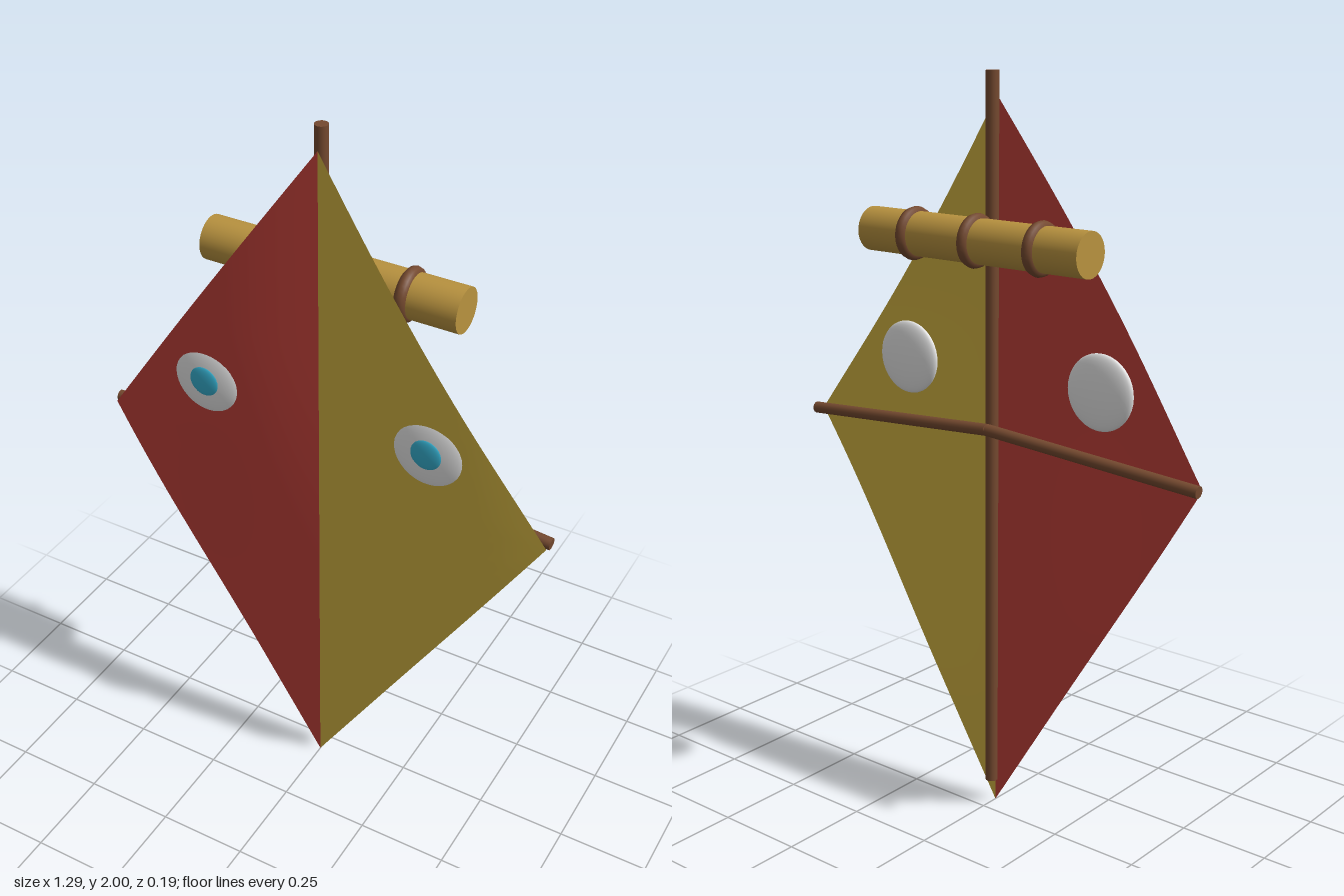
import * as THREE from 'three';

const mat = (name, color, side = THREE.FrontSide) => {
  const m = new THREE.MeshStandardMaterial({ color, side });
  m.name = name;
  return m;
};

const TOP = 1.94, CORNER_Y = 1.035, HALF = 0.638, SPINE_Z = 0.053;

// One billowing half of the sail: rows across y, straight outline in front, bulging in z
function sailHalf(side) {
  const cols = 16, rows = 40, pos = [], index = [];
  for (let j = 0; j <= rows; j++) {
    const k = j / rows;
    const y = k < 0.5 ? CORNER_Y * k * 2 : CORNER_Y + (TOP - CORNER_Y) * (k * 2 - 1);
    const width = HALF * (1 - Math.abs(k * 2 - 1));
    for (let i = 0; i <= cols; i++) {
      const x = width * i / cols;
      const bulge = 0.03 * Math.sin(Math.PI * x / HALF) * THREE.MathUtils.smoothstep(y, 0.3, 1.4);
      pos.push(side * x, y, SPINE_Z + bulge);
    }
  }
  for (let j = 0; j < rows; j++) for (let i = 0; i < cols; i++) {
    const a = j * (cols + 1) + i, b = a + 1, c = a + cols + 1, d = c + 1;
    if (side > 0) index.push(a, b, d, a, d, c);
    else index.push(a, d, b, a, c, d);
  }
  const g = new THREE.BufferGeometry();
  g.setAttribute('position', new THREE.Float32BufferAttribute(pos, 3));
  g.setIndex(index);
  g.computeVertexNormals();
  return g;
}

export function createModel() {
  const model = new THREE.Group();
  model.name = 'kite';
  const red = mat('red cloth', 0xbf4039, THREE.DoubleSide);
  const yellow = mat('yellow cloth', 0xd2b342, THREE.DoubleSide);
  const wood = mat('dark wood', 0x74492f);
  const bamboo = mat('bamboo', 0xb8923f);
  const white = mat('eye white', 0xececec);
  const blue = mat('iris blue', 0x36b0d0);

  const add = (name, geometry, material, x = 0, y = 0, z = 0) => {
    const m = new THREE.Mesh(geometry, material);
    m.name = name;
    m.position.set(x, y, z);
    model.add(m);
    return m;
  };

  // Round stick between two points
  const stick = (name, from, to, radius) => {
    const a = new THREE.Vector3(...from), b = new THREE.Vector3(...to);
    const dir = b.clone().sub(a);
    const m = add(name, new THREE.CylinderGeometry(radius, radius, dir.length(), 16), wood);
    m.position.copy(a).add(b).multiplyScalar(0.5);
    m.quaternion.setFromUnitVectors(new THREE.Vector3(0, 1, 0), dir.normalize());
  };

  // Frame
  stick('spine', [0, 0.07, 0.035], [0, 2, 0.035], 0.017);
  for (const s of [-1, 1]) {
    stick('crossSpar', [0, 1.085, 0.014], [s * 0.642, 1.038, 0.03], 0.016);
  }

  // Sail and eyes
  for (const s of [-1, 1]) {
    add(s > 0 ? 'leftSail' : 'rightSail', sailHalf(s), s > 0 ? yellow : red);
    add('eye', new THREE.SphereGeometry(1, 32, 20), white, s * 0.32, 1.225, 0.07)
      .scale.set(0.1, 0.1, 0.022);
    add('iris', new THREE.SphereGeometry(1, 24, 16), blue, s * 0.32, 1.228, 0.088)
      .scale.set(0.043, 0.043, 0.009);
  }

  // Bamboo roll behind the sail with its binding rings
  add('bambooRoll', new THREE.CylinderGeometry(0.058, 0.058, 0.706, 32), bamboo, 0, 1.585, -0.028)
    .rotation.z = Math.PI / 2;
  for (const x of [-0.205, 0, 0.205]) {
    add('bindingRing', new THREE.TorusGeometry(0.053, 0.017, 10, 32), wood, x, 1.585, -0.028)
      .rotation.y = Math.PI / 2;
  }
  return model;
}
